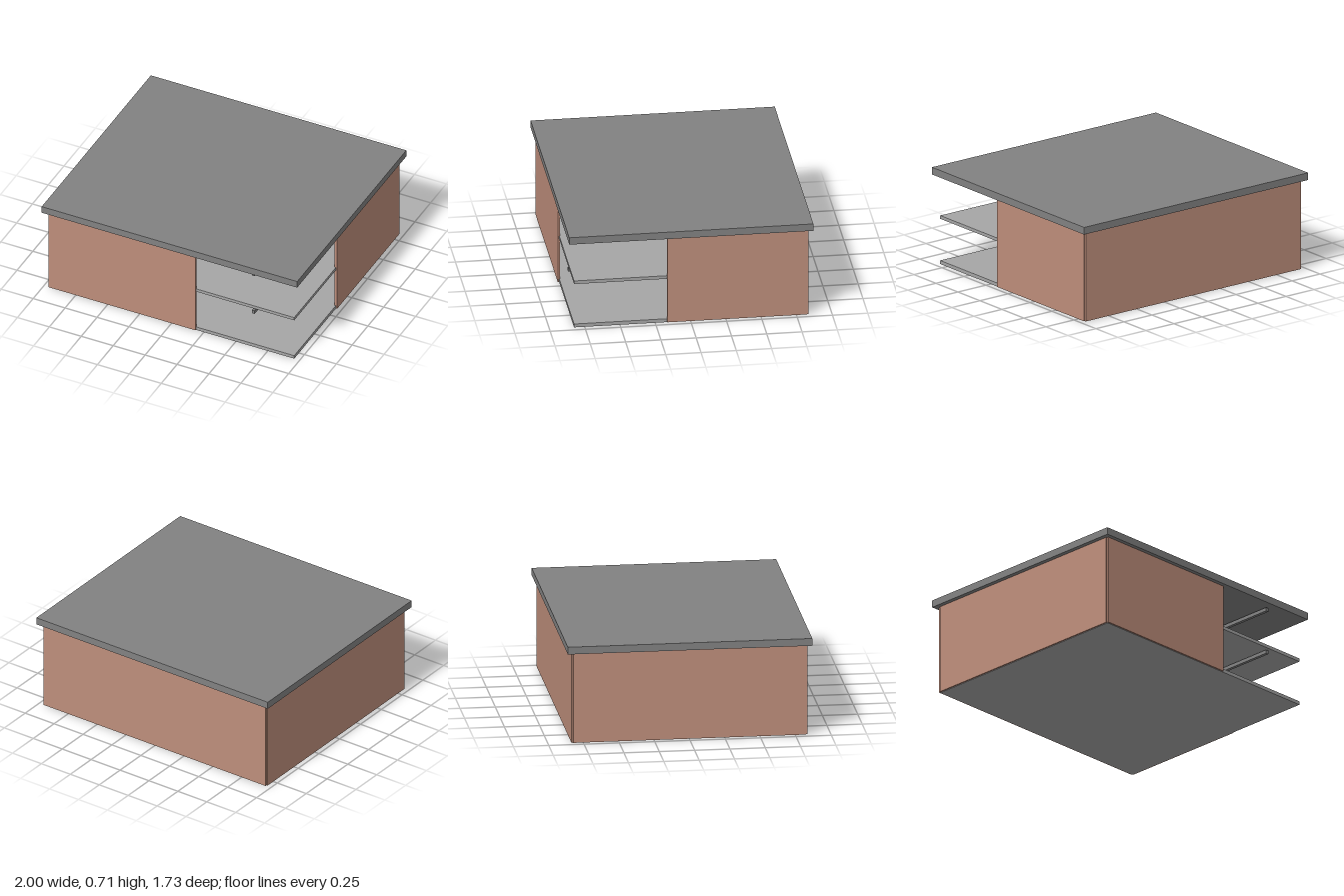
import * as THREE from 'three';

export function createModel() {
  const group = new THREE.Group();
  const material = (name, color) => {
    const m = new THREE.MeshStandardMaterial({ color });
    m.name = name;
    return m;
  };
  const topGrey = material('worktop grey', 0x828282);
  const shelfGrey = material('shelf grey', 0xa6a6a6);
  const wood = material('terracotta wood', 0xbe8e7b);

  // box given by its lower and upper limits on each axis
  const box = (name, mat, [x0, x1], [y0, y1], [z0, z1]) => {
    const mesh = new THREE.Mesh(new THREE.BoxGeometry(x1 - x0, y1 - y0, z1 - z0), mat);
    mesh.position.set((x0 + x1) / 2, (y0 + y1) / 2, (z0 + z1) / 2);
    mesh.name = name;
    group.add(mesh);
  };

  // overhanging worktop
  box('worktop', topGrey, [-1, 1], [0.66, 0.713], [-0.865, 0.865]);

  // thin wall panels, leaving the front left corner open
  const wallY = [0.003, 0.66];
  box('frontPanel', wood, [-0.96, 0.19], wallY, [0.818, 0.835]);
  box('backPanel', wood, [-0.96, 0.96], wallY, [-0.835, -0.818]);
  box('rightPanel', wood, [-0.968, -0.948], wallY, [-0.822, 0.822]);
  box('leftPanel', wood, [0.948, 0.968], wallY, [-0.822, 0.165]);

  // floor and middle shelf
  box('floorShelf', shelfGrey, [-0.957, 0.957], [0, 0.026], [-0.825, 0.825]);
  box('middleShelf', shelfGrey, [-0.957, 0.957], [0.334, 0.358], [-0.825, 0.825]);

  // square rails hung below the worktop and the middle shelf
  for (const y of [0.29, 0.618]) {
    box('rail', topGrey, [0.625, 0.648], [y, y + 0.026], [-0.825, 0.825]);
  }
  return group;
}
